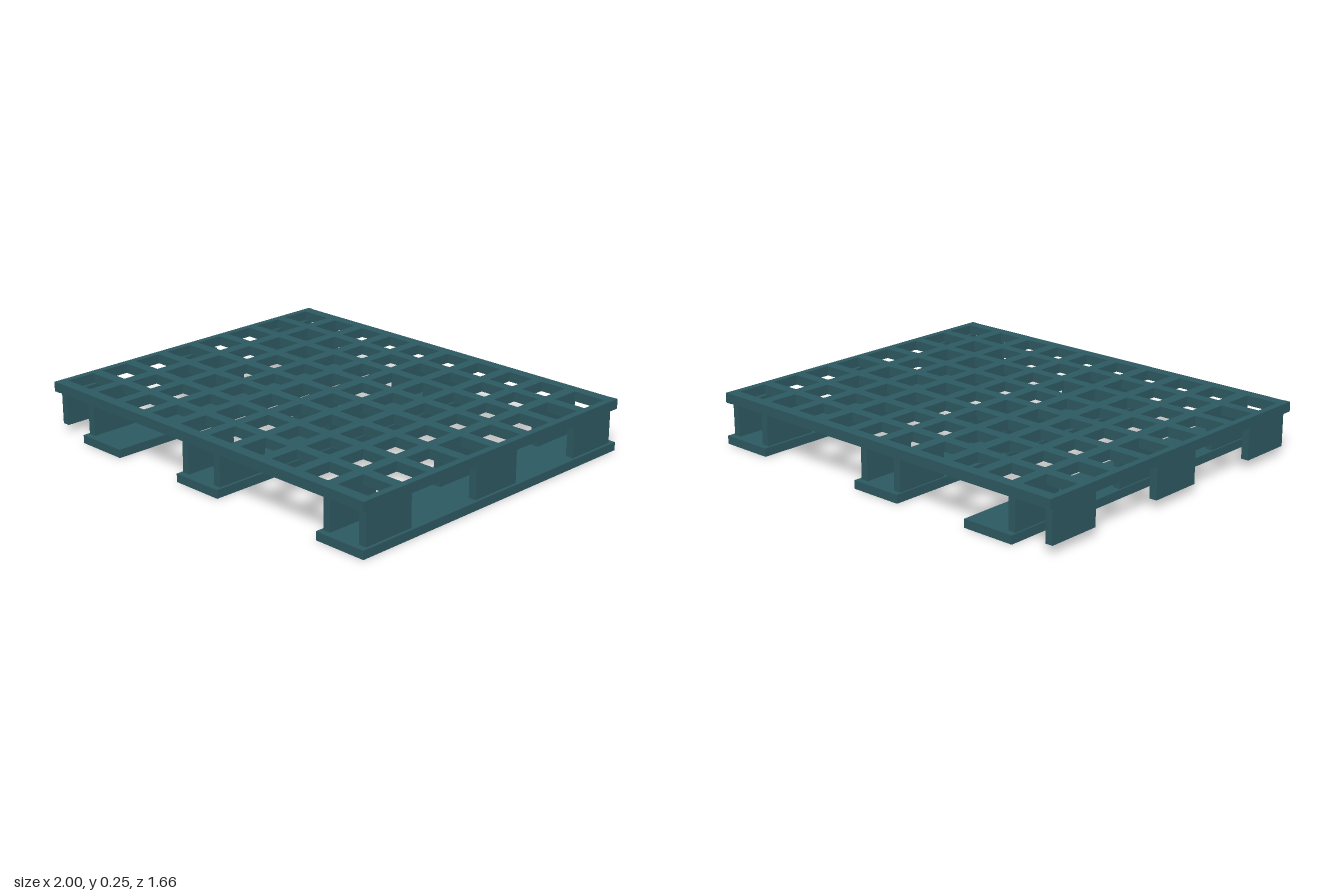
import * as THREE from 'three';

export function createModel() {
  const pallet = new THREE.Group();
  pallet.name = 'pallet';
  const plastic = new THREE.MeshStandardMaterial({ color: 0x2d5a62 });
  plastic.name = 'teal plastic';

  // Box given by its extents along each axis
  function slab(name, x0, x1, y0, y1, z0, z1) {
    const mesh = new THREE.Mesh(new THREE.BoxGeometry(x1 - x0, y1 - y0, z1 - z0), plastic);
    mesh.name = name;
    mesh.position.set((x0 + x1) / 2, (y0 + y1) / 2, (z0 + z1) / 2);
    pallet.add(mesh);
  }

  const floor = 0.04, deck = 0.203, top = 0.25, depth = 0.83;

  // Bottom runners
  for (const [x0, x1] of [[-0.795, -0.53], [-0.133, 0.132], [0.733, 1]])
    slab('runner', x0, x1, 0, floor, -depth, depth);

  // Upright foot plates, three along each line
  for (const x of [-0.967, -0.768, -0.105, 0.099, 0.766, 0.966])
    for (const z of [-0.667, 0, 0.667])
      slab('footPlate', x - 0.019, x + 0.019, floor, deck, z - 0.133, z + 0.133);

  // Deck end rails
  slab('rightEndRail', -1, -0.967, deck, top, -depth, depth);
  slab('leftEndRail', 0.967, 1, deck, top, -depth, depth);

  // Long deck slats
  const slats = 9, half = 0.027, pitch = 0.2;
  for (let i = 0; i < slats; i++) {
    const z = (i - 4) * pitch;
    slab('deckSlat', -0.967, 0.967, deck, top, z - half, z + half);
  }

  // Cross bar pieces fitted between the slats
  for (let i = 0; i < 9; i++) {
    const x = (i - 4) * 0.1935;
    for (let j = 0; j < slats - 1; j++) {
      const z = (j - 4) * pitch;
      slab('crossBar', x - 0.028, x + 0.028, deck, top, z + half, z + pitch - half);
    }
  }
  return pallet;
}
